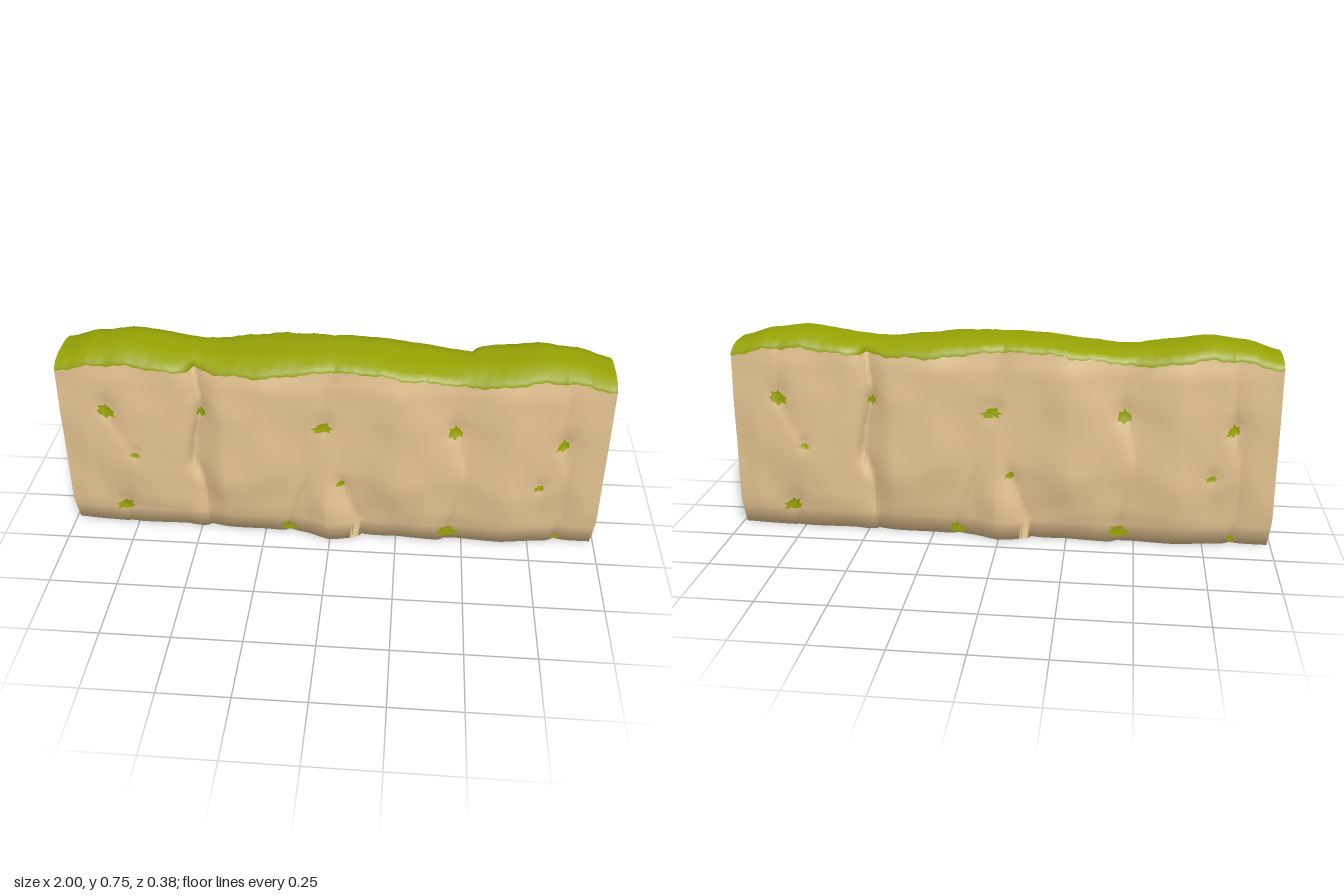
import * as THREE from 'three';
import { toCreasedNormals } from 'three/addons/utils/BufferGeometryUtils.js';

const { lerp, smoothstep, clamp } = THREE.MathUtils;

// Smooth interpolation through a small table, half eased and half straight
function sample(keys, vals, t) {
  t = clamp(t, keys[0], keys[keys.length - 1]);
  let i = 0;
  while (i < keys.length - 2 && t > keys[i + 1]) i++;
  const f = (t - keys[i]) / (keys[i + 1] - keys[i]);
  return lerp(vals[i], vals[i + 1], (f + smoothstep(f, 0, 1)) / 2);
}

// Half depth of the rock face at stations along x (columns) and heights (rows)
const XS = [-1, -.9, -.75, -.57, -.5, -.4, -.25, -.1, 0, .12, .25, .42, .5, .65, .8, .88, 1];
const YS = [0, .11, .25, .5, .63, .71];
const DEPTH = [
  [.122, .13, .138, .132, .142, .148, .143, .155, .187, .165, .148, .158, .143, .15, .13, .125, .12],
  [.13, .145, .155, .148, .148, .17, .165, .16, .187, .16, .168, .165, .165, .17, .14, .133, .128],
  [.13, .145, .162, .152, .145, .182, .18, .155, .17, .16, .182, .17, .165, .177, .15, .138, .126],
  [.125, .14, .15, .147, .135, .16, .167, .15, .148, .155, .167, .153, .145, .16, .145, .135, .122],
  [.12, .13, .14, .142, .128, .143, .16, .147, .142, .147, .16, .14, .135, .154, .135, .127, .118],
  [.115, .122, .128, .136, .115, .125, .138, .135, .13, .134, .142, .126, .125, .135, .122, .119, .112],
];

// Cracks between boulders: heights, x positions, depth, width of the right-hand slope
const CRACKS = [
  { y: [0, .2, .3, .55, .75], x: [-.47, -.48, -.52, -.48, -.51], d: [.018, .022, .034, .034, .044], w: .08 },
  { y: [0, .1, .35, .5, .75], x: [-.16, -.13, -.05, -.02, 0], d: [.014, .012, .01, .015, .008], w: .05 },
  { y: [0, .1, .22, .27], x: [.12, .09, .05, .04], d: [.026, .026, .016, 0], w: .06 },
  { y: [0, .3, .5, .75], x: [.44, .5, .45, .48], d: [.014, .009, .014, .008], w: .05 },
  { y: [0, .3, .45, .75], x: [.86, .87, .84, .83], d: [.016, .014, .016, .008], w: .05 },
  { y: [0, .1, .33, .5, .75], x: [-.79, -.79, -.74, -.83, -.82], d: [.006, .007, .004, .007, .003], w: .06 },
];

// Moss tufts: x, y, size
const MOSS = [[-.825, .512, .042], [-.73, .33, .02], [-.79, .088, .04], [-.475, .51, .024],
  [-.16, .025, .036], [-.03, .482, .038], [.04, .25, .022], [.45, .487, .036],
  [.44, .042, .042], [.77, .263, .022], [.84, .442, .032], [.86, .02, .024]];

function depth(x, y) {
  // tilt the boulder shoulders so they do not line up
  const yy = y + .03 * Math.sin(x * 11) * Math.sin(Math.PI * Math.min(y / .5, 1));
  let d = sample(YS, DEPTH.map(row => sample(XS, row, x)), yy);
  d += .003 * Math.sin(x * 19 + y * 11) * Math.sin(y * 9);
  for (const c of CRACKS) {
    const u = x - sample(c.y, c.x, y);
    d -= sample(c.y, c.d, y) * Math.exp(u < 0 ? u / .012 : -u / c.w);
  }
  // small ledge pockets that hold the moss
  for (const [mx, my, r] of MOSS) {
    const q = ((x - mx) ** 2 + (y - my - r * .3) ** 2) / (r * r);
    d -= .009 * Math.exp(-q);
  }
  return d;
}

// Crest height and ragged lower edge of the grass
const crest = x => sample([0, .15, .3, .43, .55, .75, .88, 1],
  [.745, .74, .722, .712, .722, .75, .735, .7], Math.abs(x));
const grassLine = x => crest(x) - .003 * Math.cos(x * 47) - .002 * Math.sin(x * 131)
  - sample([-1, -.75, -.5, -.4, -.2, 0, .2, .4, .5, .75, 1],
    [.04, .05, .038, .04, .052, .038, .032, .032, .05, .05, .04], x);
// Ends tuck in slightly near the ground
const endX = (x, y) => x * (1 - .012 * (1 - smoothstep(y, 0, .1)));

// Grid surface; its front is the side of du x dv
function sheet(nu, nv, fn, crease = .7) {
  const pos = [], idx = [];
  for (let j = 0; j <= nv; j++)
    for (let i = 0; i <= nu; i++) pos.push(...fn(i / nu, j / nv));
  for (let j = 0; j < nv; j++)
    for (let i = 0; i < nu; i++) {
      const a = j * (nu + 1) + i, b = a + 1, c = a + nu + 1, d = c + 1;
      idx.push(a, b, d, a, d, c);
    }
  const g = new THREE.BufferGeometry();
  g.setAttribute('position', new THREE.Float32BufferAttribute(pos, 3));
  g.setIndex(idx);
  return toCreasedNormals(g, crease);
}

// Grass cross-section from the ragged rim (0) over the rounded edge to the middle (5)
function grassPoint(x, k) {
  const g = grassLine(x);
  const y = lerp(g, crest(x), [0, .3, .68, .95, 1, 1][k]);
  return [x, y, depth(x, g) * [1, .985, .8, .46, .25, 0][k]];
}

export function createModel() {
  const rock = new THREE.MeshStandardMaterial({ color: 0xe2c18f });
  rock.name = 'sandstone';
  const grass = new THREE.MeshStandardMaterial({ color: 0x97a305 });
  grass.name = 'grass green';

  function makeHalf() {
    const half = new THREE.Group();
    const add = (name, geometry, material) => {
      const m = new THREE.Mesh(geometry, material);
      m.name = name;
      half.add(m);
    };

    // Rock face, rolling softly into the underside, and grass top
    add('rockFace', sheet(260, 30, (u, v) => {
      const x = u * 2 - 1, row = Math.round(v * 30);
      if (row === 0) return [endX(x, 0), 0, 0];
      const y = row === 1 ? 0 : lerp(.07, grassLine(x), (row - 2) / 28);
      return [endX(x, y), y, depth(x, y)];
    }, 1.65), rock);
    add('grassTop', sheet(260, 5, (u, v) => grassPoint(u * 2 - 1, Math.round(v * 5)), 1.3), grass);

    // End walls: rock below, grass above the ragged line
    for (const s of [-1, 1]) {
      const g = grassLine(s);
      const line = f => lerp(.68, g, Math.min(f, 1) ** 2) + .004 * Math.sin(f * 9) * (1 - Math.min(f, 1));
      add('endWall', sheet(14, 16, (u, v) => {
        const f = s > 0 ? 1 - u : u, y = v * line(f);
        return [endX(s, y), y, f * depth(s, y)];
      }), rock);
      add('endGrass', sheet(5, 1, (u, v) => {
        const p = grassPoint(s, Math.round(5 * (s > 0 ? u : 1 - u)));
        return [s, v ? p[1] : line(p[2] / depth(s, g)), p[2]];
      }), grass);
    }

    // Ragged moss tufts draped over the ledges, wider at the foot
    MOSS.forEach(([mx, my, r], n) => {
      const pos = [], N = 16;
      const point = (i, t) => {
        const a = (i % N) / N * Math.PI * 2;
        const q = t * r * (i % 2 ? .65 : .9 + .25 * Math.sin((i % N) * 2.3 + n * 1.7));
        const x = mx + q * Math.cos(a) * (1 - .25 * Math.sin(a));
        const y = Math.max(.002, my + q * .72 * Math.sin(a));
        return [x, y, depth(x, y) + .006];
      };
      for (let i = 0; i < N; i++) {
        const a = point(i, .5), b = point(i + 1, .5), c = point(i, 1), d = point(i + 1, 1);
        pos.push(...point(0, 0), ...a, ...b, ...a, ...c, ...d, ...a, ...d, ...b);
      }
      const geo = new THREE.BufferGeometry();
      geo.setAttribute('position', new THREE.Float32BufferAttribute(pos, 3));
      add('mossTuft', toCreasedNormals(geo, 1), grass);
    });
    return half;
  }

  // The back is the front turned half way round
  const model = new THREE.Group();
  model.name = 'cliffWall';
  const front = makeHalf();
  front.name = 'frontHalf';
  const back = front.clone();
  back.name = 'backHalf';
  back.rotation.y = Math.PI;
  model.add(front, back);
  return model;
}
